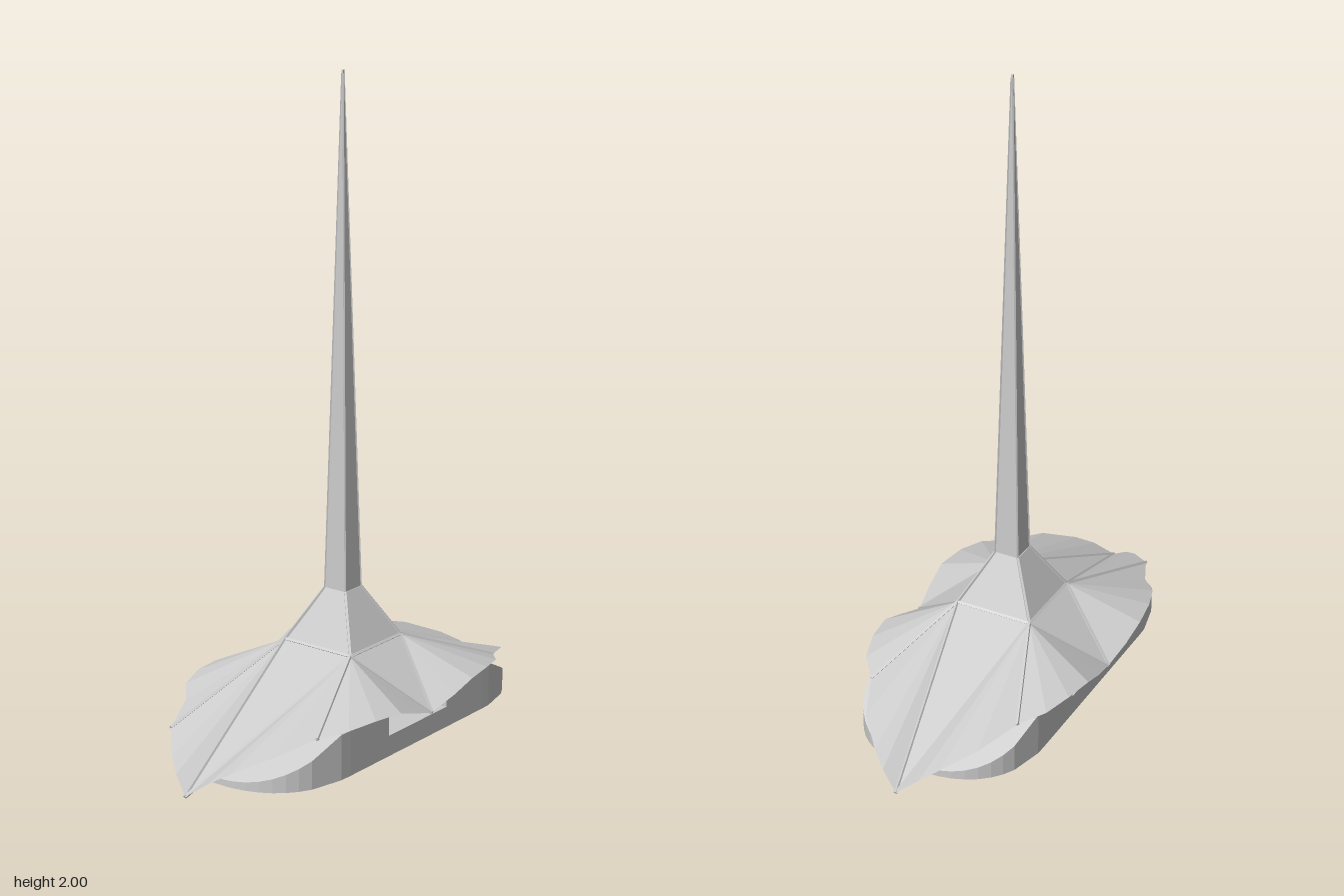
import * as THREE from 'three';
import { mergeGeometries } from 'three/addons/utils/BufferGeometryUtils.js';

const material = new THREE.MeshStandardMaterial({ color: 0xcccccc, flatShading: true, side: THREE.DoubleSide });

function mesh(name, geometry) {
  const m = new THREE.Mesh(geometry, material);
  m.name = name;
  return m;
}

function fromTriangles(points) {
  const g = new THREE.BufferGeometry();
  g.setAttribute('position', new THREE.Float32BufferAttribute(points.flat(), 3));
  g.computeVertexNormals();
  return g;
}

// Stadium-shaped plinth: sloped ends and a notch across the middle
function plinth() {
  const bottom = 0.01, half = [[0, 0.075], [0.145, 0.075], [0.145, 0.15], [0.33, 0.15], [0.37, 0.15]];
  const power = 2 / 2.4, widthAt = z => z <= 0.33 ? 0.285
    : 0.285 * Math.pow(Math.max(0, 1 - Math.pow((z - 0.33) / 0.282, 2.4)), power / 2);
  for (let i = 3; i <= 10; i++) {
    const z = 0.33 + 0.28 * Math.pow(Math.sin(i / 10 * Math.PI / 2), power);
    if (z > 0.38) half.push([z, 0.15 - 0.12 * (z - 0.37) / 0.24]);
  }
  const stations = [...half.slice(1).reverse().map(([z, h]) => [-z, h]), ...half];
  const rings = stations.map(([z, h]) => {
    const w = widthAt(Math.abs(z));
    return [[w, bottom, z], [w, h, z], [-w, h, z], [-w, bottom, z]];
  });
  const tris = [];
  for (let i = 0; i < rings.length - 1; i++) {
    const a = rings[i], b = rings[i + 1];
    for (let k = 0; k < 4; k++) {
      const n = (k + 1) % 4;
      tris.push(a[k], a[n], b[n], a[k], b[n], b[k]);
    }
  }
  const f = rings[0], l = rings[rings.length - 1];
  tris.push(f[0], f[2], f[1], f[0], f[3], f[2], l[0], l[1], l[2], l[0], l[2], l[3]);
  return fromTriangles(tris);
}

// One quarter of the canopy rim, from the end tip round to the side valley
const corner = [0.125, 0.28, 0.125];
const tip = [0, 0.006, 0.73], valley = [0.335, 0.115, 0];
const rim = [
  tip, [0.06, 0.05, 0.7], [0.11, 0.08, 0.66], [0.19, 0.12, 0.575], [0.25, 0.15, 0.44],
  [0.31, 0.167, 0.37], [0.34, 0.177, 0.28], [0.355, 0.174, 0.18], [0.349, 0.145, 0.095], valley
];
const flip = (p, sx, sz) => [p[0] * sx, p[1], p[2] * sz];

function canopy() {
  const tris = [];
  const add = (a, b, c, sx, sz) => {
    const t = [a, b, c].map(p => flip(p, sx, sz));
    tris.push(...(sx * sz < 0 ? t.reverse() : t));
  };
  for (const sx of [1, -1]) for (const sz of [1, -1]) {
    for (let i = 0; i < rim.length - 1; i++) add(corner, rim[i], rim[i + 1], sx, sz);
    add([0, 0.28, 0.125], tip, corner, sx, sz);
    add(corner, valley, [0.125, 0.28, 0], sx, sz);
  }
  return fromTriangles(tris);
}

// Square frustum aligned with the axes
function squareTaper(topHalf, bottomHalf, y0, y1) {
  const r = Math.SQRT2;
  return new THREE.CylinderGeometry(topHalf * r, bottomHalf * r, y1 - y0, 4)
    .rotateY(Math.PI / 4).translate(0, (y0 + y1) / 2, 0);
}

// Thin batten between two points
function batten(a, b, radius = 0.006) {
  const p = new THREE.Vector3(...a), q = new THREE.Vector3(...b), d = q.clone().sub(p);
  const g = new THREE.CylinderGeometry(radius, radius, d.length(), 4);
  g.applyQuaternion(new THREE.Quaternion().setFromUnitVectors(new THREE.Vector3(0, 1, 0), d.normalize()));
  return g.translate(...p.add(q).multiplyScalar(0.5).toArray());
}

export function createModel() {
  const model = new THREE.Group();
  model.name = 'spireCanopy';
  model.add(mesh('plinth', plinth()));
  model.add(mesh('canopy', canopy()));
  model.add(mesh('neck', squareTaper(0.04, 0.122, 0.28, 0.44)));
  model.add(mesh('spire', squareTaper(0.003, 0.038, 0.44, 2)));

  // Battens along the folds, the neck edges and the spire edges
  const roof = [], tower = [];
  for (const sx of [1, -1]) for (const sz of [1, -1]) {
    const c = flip(corner, sx, sz);
    const side = sx < 0 && sz > 0 ? rim[3] : rim[4];
    for (const end of [tip, side, valley]) roof.push(batten(c, flip(end, sx, sz)));
    roof.push(batten(c, sx === sz ? flip(corner, -sx, sz) : flip(corner, sx, -sz)));
    const shoulder = [0.039 * sx, 0.44, 0.039 * sz];
    tower.push(batten(c, shoulder, 0.005));
    tower.push(batten(shoulder, [0.002 * sx, 1.99, 0.002 * sz], 0.003));
  }
  model.add(mesh('canopyBattens', mergeGeometries(roof)));
  model.add(mesh('towerBattens', mergeGeometries(tower)));
  return model;
}
